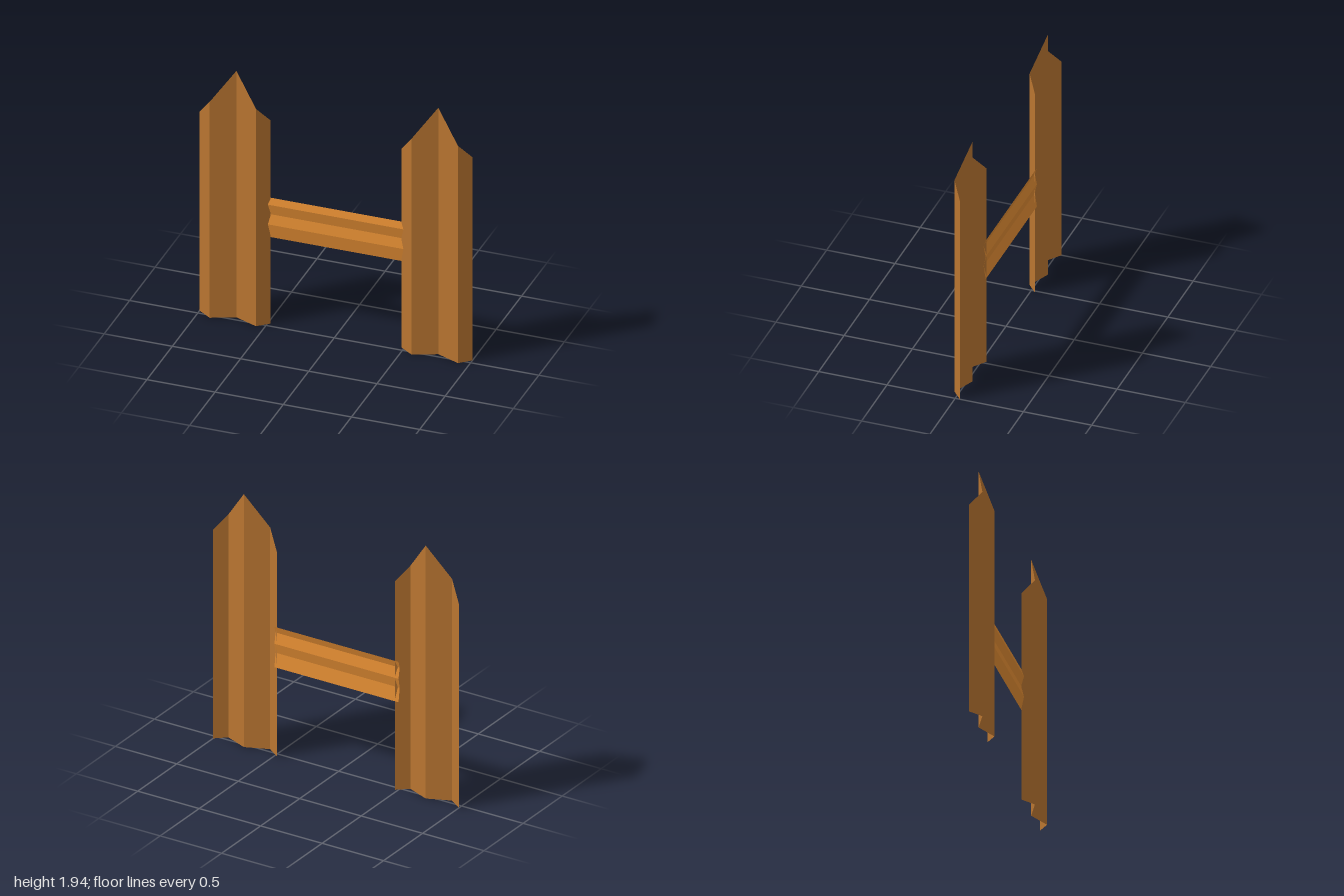
import * as THREE from 'three';

const plankWood = new THREE.MeshStandardMaterial({ color: 0xb97530, side: THREE.DoubleSide });
plankWood.name = 'plank wood';
const railWood = new THREE.MeshStandardMaterial({ color: 0xe08b32, side: THREE.DoubleSide });
railWood.name = 'rail wood';

// Folded sheet between two matching rows of points, one flat quad per fold
function foldedSheet(rowA, rowB) {
  const positions = [];
  for (let i = 0; i < rowA.length - 1; i++) {
    const [a, b, c, d] = [rowA[i], rowA[i + 1], rowB[i + 1], rowB[i]];
    positions.push(...a, ...b, ...c, ...a, ...c, ...d);
  }
  const geometry = new THREE.BufferGeometry();
  geometry.setAttribute('position', new THREE.Float32BufferAttribute(positions, 3));
  geometry.computeVertexNormals();
  return geometry;
}

export function createModel() {
  const model = new THREE.Group();
  model.name = 'fence';

  // Pointed upright planks: [x, top height], folded back and forth in z
  const profile = [[-0.26, 1.565], [-0.16, 1.7], [0.01, 1.94], [0.18, 1.71], [0.26, 1.6]];
  const foldZ = (i) => (i % 2 ? 0.035 : -0.035);
  const plankGeometry = foldedSheet(
    profile.map(([x], i) => [x, 0, foldZ(i)]),
    profile.map(([x, top], i) => [x, top, foldZ(i)])
  );
  for (const [name, x] of [['rightPlank', -0.74], ['leftPlank', 0.74]]) {
    const plank = new THREE.Mesh(plankGeometry, plankWood);
    plank.name = name;
    plank.position.x = x;
    model.add(plank);
  }

  // Shallowly folded cross rail, its ends tucked behind the planks
  const railFolds = [[0.68, -0.037], [0.785, -0.022], [0.86, -0.037], [0.94, -0.022], [0.99, -0.037]];
  const rail = new THREE.Mesh(
    foldedSheet(
      railFolds.map(([y, z]) => [0.5, y, z]),
      railFolds.map(([y, z]) => [-0.51, y, z])
    ),
    railWood
  );
  rail.name = 'crossRail';
  model.add(rail);

  return model;
}
